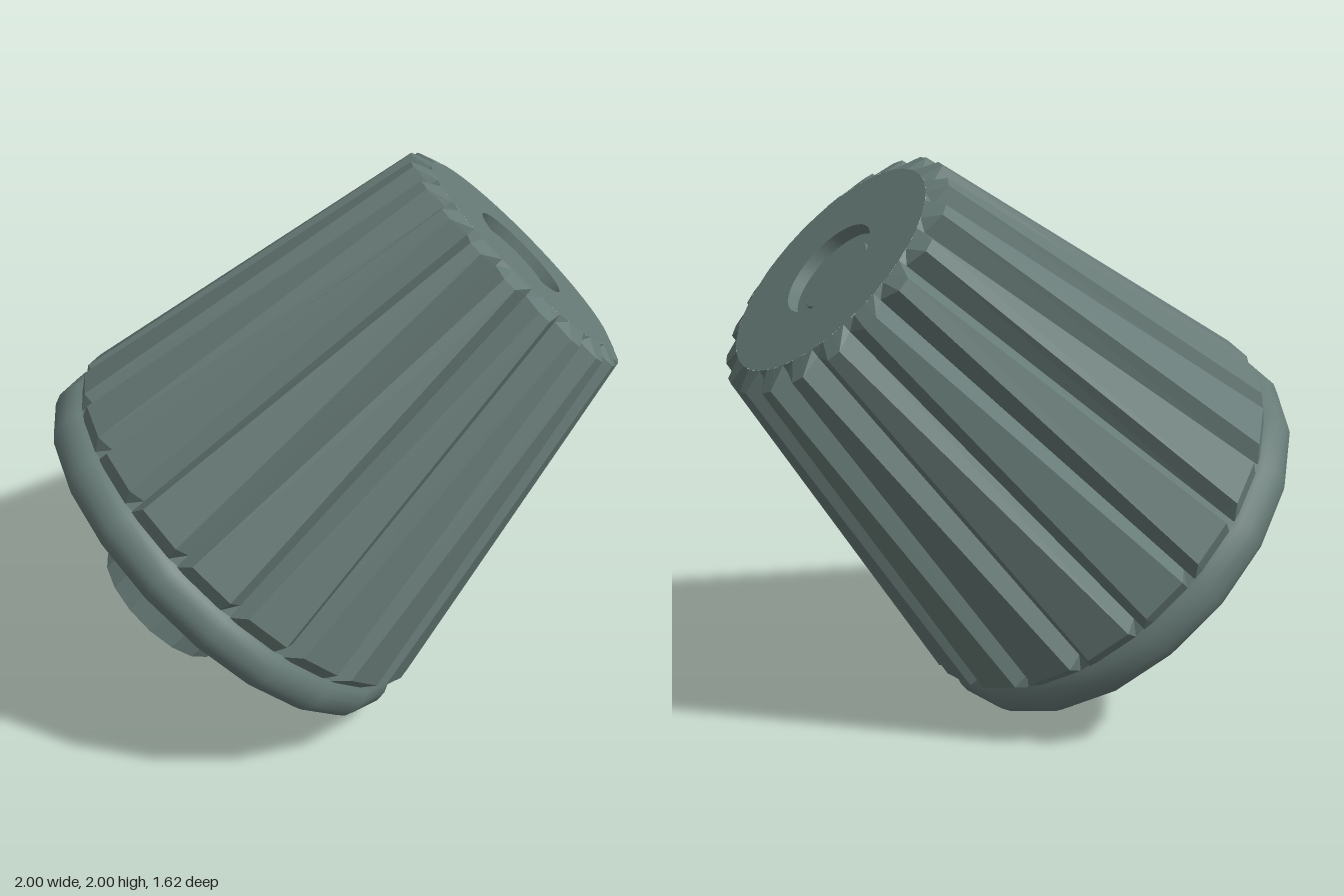
import * as THREE from 'three';
import { toCreasedNormals } from 'three/addons/utils/BufferGeometryUtils.js';

const SIDES = 20;
const material = new THREE.MeshStandardMaterial({ color: 0x667a76 });

function part(name, geometry) {
  const mesh = new THREE.Mesh(geometry, material);
  mesh.name = name;
  return mesh;
}

// Turned part from [radius, height] pairs, listed bottom to top
function turned(profile, segments, crease) {
  const points = profile.map(([r, h]) => new THREE.Vector2(r, h));
  return toCreasedNormals(new THREE.LatheGeometry(points, segments), crease);
}

// Tapered body with V grooves: each ring has a groove bottom and two shoulders per side
function flutedBody() {
  // height, groove radius, shoulder radius, shoulder half angle
  const rings = [
    [0.215, 0.77, 0.77, 0.05],
    [0.27, 0.757, 0.806, 0.05],
    [1.612, 0.447, 0.512, 0.108],
    [1.64, 0.437, 0.437, 0.108],
  ];
  const positions = [];
  const index = [];
  const count = SIDES * 3;
  for (const [h, groove, shoulder, half] of rings) {
    for (let k = 0; k < SIDES; k++) {
      for (const side of [-1, 0, 1]) {
        const angle = (k / SIDES) * Math.PI * 2 + side * half;
        const r = side === 0 ? groove : shoulder;
        positions.push(r * Math.sin(angle), h, r * Math.cos(angle));
      }
    }
  }
  for (let i = 0; i < rings.length - 1; i++) {
    for (let j = 0; j < count; j++) {
      const a = i * count + j;
      const b = i * count + ((j + 1) % count);
      index.push(a, b, b + count, a, b + count, a + count);
    }
  }
  const indexed = new THREE.BufferGeometry();
  indexed.setAttribute('position', new THREE.Float32BufferAttribute(positions, 3));
  indexed.setIndex(index);
  const geometry = indexed.toNonIndexed();
  geometry.computeVertexNormals();
  return geometry;
}

export function createModel() {
  const model = new THREE.Group();
  model.name = 'controlKnob';

  // The knob is built upright, then tipped 45 degrees
  const knob = new THREE.Group();
  knob.name = 'knob';
  knob.rotation.z = -Math.PI / 4;
  knob.position.set(-0.5, 0.5, 0);
  model.add(knob);

  knob.add(part('flutedBody', flutedBody()));

  // Rounded rim with flat underside
  knob.add(part('baseRim', turned([
    [0, 0.045], [0.72, 0.045], [0.752, 0.053], [0.778, 0.07], [0.797, 0.092],
    [0.81, 0.13], [0.806, 0.17], [0.79, 0.205], [0.755, 0.23],
  ], SIDES, 0.65)));

  // End face with a round recess and a low raised disc in it
  knob.add(part('endFace', turned([
    [0.437, 1.64], [0.19, 1.64], [0.188, 1.595], [0.146, 1.595], [0.143, 1.61], [0, 1.61],
  ], 40, 0.5)));

  // Shaft
  const shaft = new THREE.CylinderGeometry(0.27, 0.27, 0.3, 16);
  shaft.translate(0, -0.08, 0);
  knob.add(part('shaft', toCreasedNormals(shaft, 0.3)));

  return model;
}
